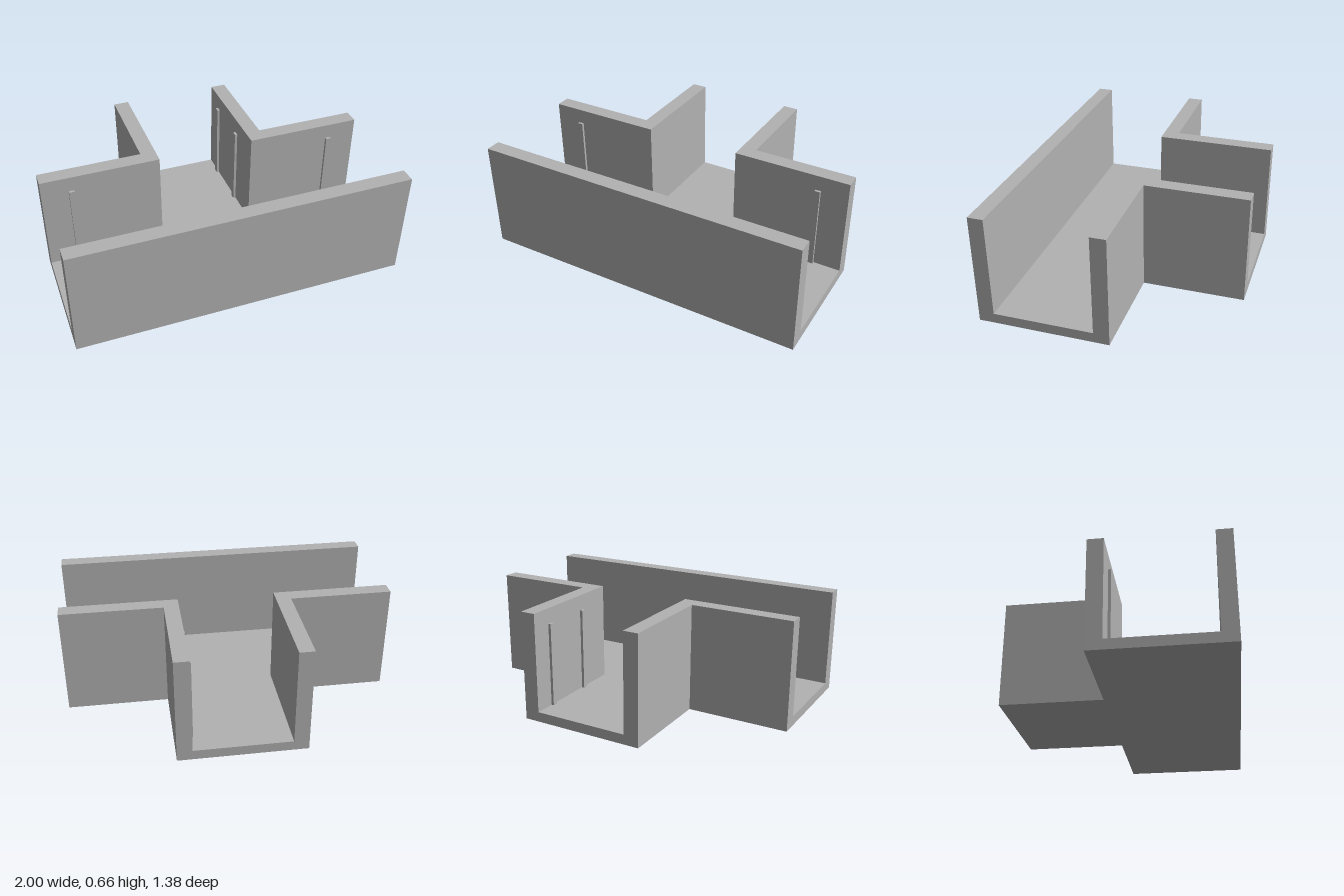
import * as THREE from 'three';

const FLOOR = 0.06, TOP = 0.657, RIB_TOP = 0.565;

// Extrude a plan outline given as [x, z] points from y0 up to y1
function slab(name, points, y0, y1, material) {
  const shape = new THREE.Shape(points.map(([x, z]) => new THREE.Vector2(x, -z)));
  const geometry = new THREE.ExtrudeGeometry(shape, { depth: y1 - y0, bevelEnabled: false });
  geometry.rotateX(-Math.PI / 2);
  const mesh = new THREE.Mesh(geometry, material);
  mesh.name = name;
  mesh.position.y = y0;
  return mesh;
}

const rect = (x0, x1, z0, z1) => [[x0, z0], [x1, z0], [x1, z1], [x0, z1]];

export function createModel() {
  const group = new THREE.Group();
  group.name = 'channelJunction';
  const grey = new THREE.MeshStandardMaterial({ color: 0xb2b2b2 });
  grey.name = 'grey';
  const add = (name, points, y0, y1) => group.add(slab(name, points, y0, y1, grey));

  // T-shaped floor
  add('floor', [
    [-1, 0.688], [1, 0.688], [1, -0.08], [0.386, -0.08],
    [0.386, -0.688], [-0.38, -0.688], [-0.38, -0.08], [-1, -0.08],
  ], 0, FLOOR);

  // Long wall along the front
  add('frontWall', rect(-1, 1, 0.597, 0.688), FLOOR, TOP);

  // L-shaped walls on both sides of the branch
  for (const [name, end, outer, inner] of [
    ['leftCornerWall', 1, 0.386, 0.295],
    ['rightCornerWall', -1, -0.38, -0.289],
  ]) {
    add(name, [
      [end, -0.08], [outer, -0.08], [outer, -0.688],
      [inner, -0.688], [inner, 0.012], [end, 0.012],
    ], FLOOR, TOP);
  }

  // Upright ribs inside the main channel
  for (const x of [-0.824, 0.82]) {
    add('channelRib', rect(x - 0.016, x + 0.016, 0.012, 0.028), FLOOR, RIB_TOP);
  }

  // Upright ribs on the left wall of the branch
  for (const z of [-0.545, -0.228]) {
    add('branchRib', rect(0.279, 0.295, z - 0.016, z + 0.016), FLOOR, RIB_TOP);
  }

  return group;
}
